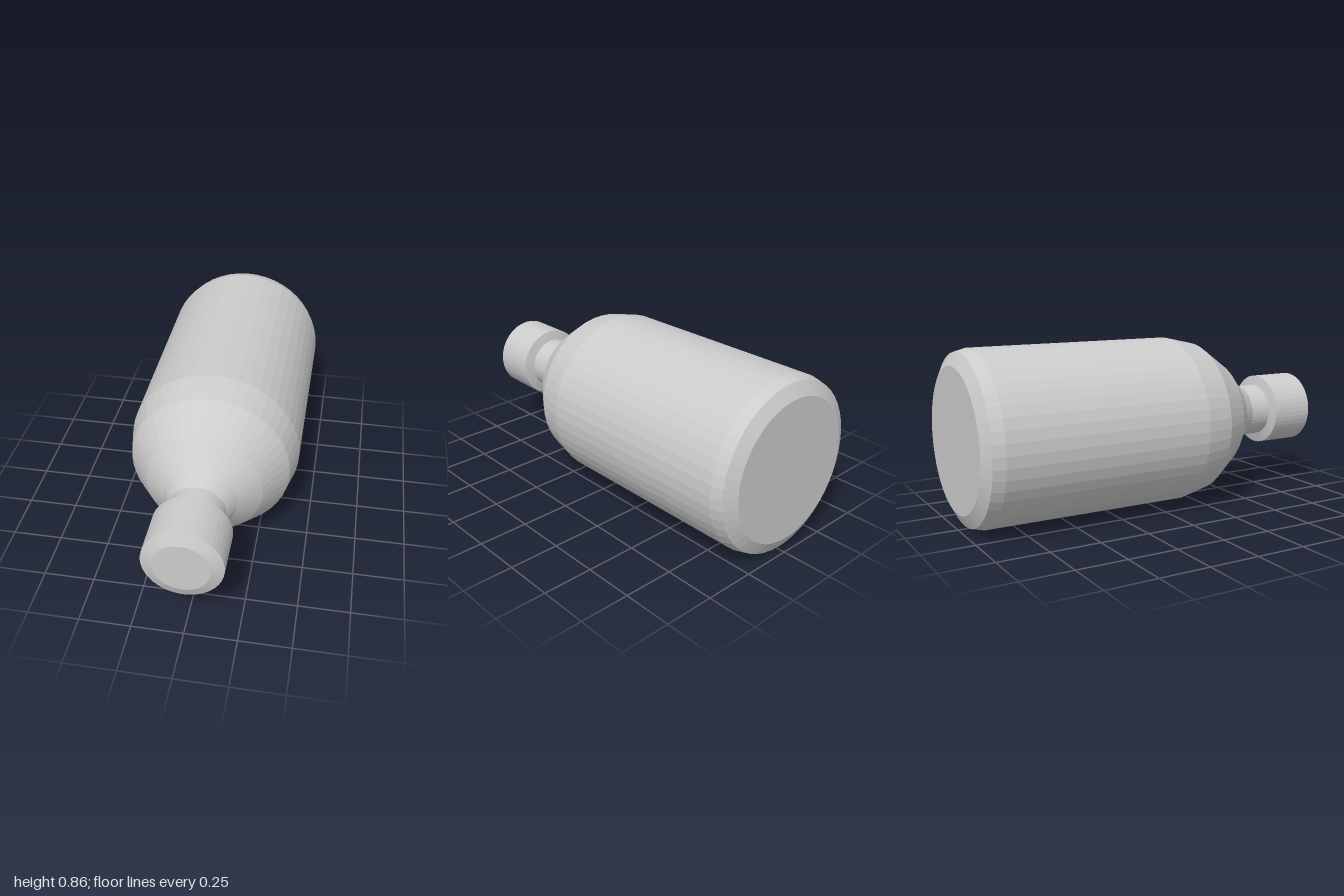
import * as THREE from 'three';

const SIDES = 48;
const RADIUS = 0.428;

// Revolves a [radius, z] profile around the z axis, with flat facets
function turned(name, profile) {
  const points = profile.map(([r, z]) => new THREE.Vector2(r, z));
  const geometry = new THREE.LatheGeometry(points, SIDES);
  geometry.rotateX(Math.PI / 2);
  const material = new THREE.MeshStandardMaterial({ color: 0xcccccc, flatShading: true });
  const mesh = new THREE.Mesh(geometry, material);
  mesh.name = name;
  mesh.position.y = RADIUS;
  return mesh;
}

export function createModel() {
  const group = new THREE.Group();
  group.name = 'bottle';

  // Bottle lying on its side: base, body, shoulder and neck
  group.add(turned('body', [
    [0, -1], [0.35, -1], [0.413, -0.967], [RADIUS, -0.91],
    [RADIUS, 0.145], [0.395, 0.295], [0.285, 0.455],
    [0.175, 0.56], [0.136, 0.625], [0.136, 0.74],
  ]));

  // Wider cap with bevelled ends
  group.add(turned('cap', [
    [0.13, 0.735], [0.187, 0.75], [0.187, 0.977], [0.131, 1], [0, 1],
  ]));

  return group;
}
